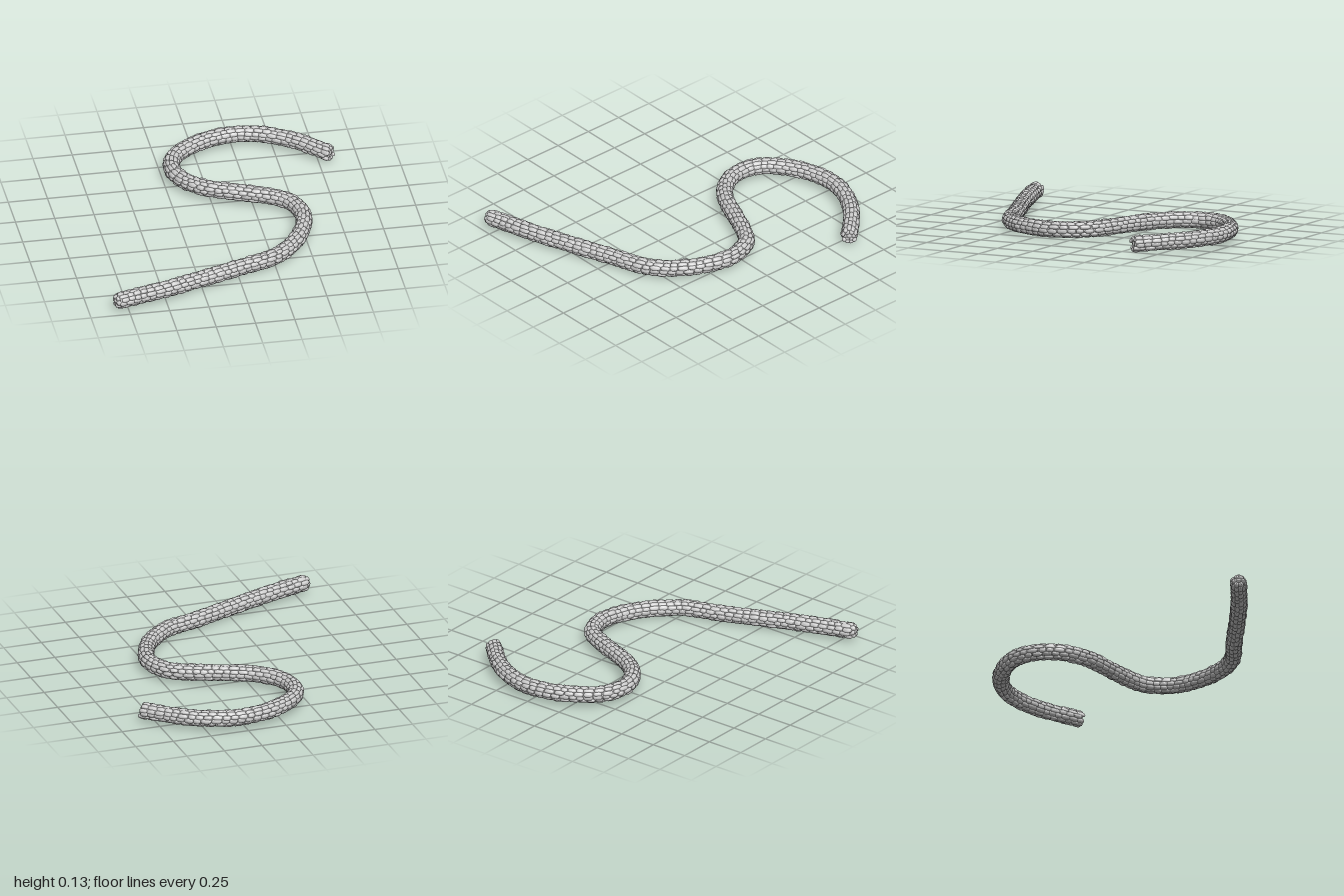
import * as THREE from 'three';
import { mergeGeometries } from 'three/addons/utils/BufferGeometryUtils.js';

// Centre line of the winding wall: x, y, z
const PATH = [
  [-0.82, 0.075, 0.94], [-0.5, 0.068, 0.84], [-0.23, 0.063, 0.74], [0, 0.06, 0.65],
  [0.24, 0.06, 0.56], [0.39, 0.062, 0.42], [0.485, 0.066, 0.245], [0.515, 0.07, 0.085],
  [0.46, 0.074, -0.075], [0.35, 0.077, -0.155], [0.165, 0.08, -0.235], [-0.02, 0.08, -0.32],
  [-0.145, 0.08, -0.445], [-0.19, 0.08, -0.59], [-0.15, 0.08, -0.735], [0, 0.08, -0.865],
  [0.165, 0.08, -0.93], [0.295, 0.08, -0.943], [0.455, 0.08, -0.905], [0.625, 0.078, -0.805],
  [0.81, 0.073, -0.63],
];
const COURSES = 11;
const CORE = 0.044;

// Small seeded random source
function makeRandom(seed) {
  return () => {
    seed = (seed * 16807) % 2147483647;
    return seed / 2147483647;
  };
}

// A rounded block: a sphere pushed towards a box
function makeStone() {
  const stone = new THREE.SphereGeometry(1, 9, 6);
  const p = stone.attributes.position;
  const push = (v) => Math.sign(v) * Math.pow(Math.abs(v), 0.72);
  for (let i = 0; i < p.count; i++) {
    p.setXYZ(i, push(p.getX(i)), push(p.getY(i)), push(p.getZ(i)));
  }
  stone.computeVertexNormals();
  return stone;
}

export function createModel() {
  const group = new THREE.Group();
  group.name = 'windingStoneWall';
  const material = new THREE.MeshStandardMaterial({ color: 0xcccccc, roughness: 0.9 });
  const random = makeRandom(4271);
  const vary = (amount) => (random() - 0.5) * 2 * amount;
  const curve = new THREE.CatmullRomCurve3(PATH.map((p) => new THREE.Vector3(...p)));
  const length = curve.getLength();
  const stone = makeStone();
  const up = new THREE.Vector3(0, 1, 0);

  // Local axes of the wall at a point along its length
  function frameAt(t) {
    const along = curve.getTangentAt(t);
    const side = new THREE.Vector3().crossVectors(along, up).normalize();
    const top = new THREE.Vector3().crossVectors(side, along).normalize();
    return { point: curve.getPointAt(t), along, side, top };
  }

  // One stone lying on the wall at an angle round its section
  function placeStone(t, angle, radius, halfLength, halfWidth, halfDepth) {
    const f = frameAt(t);
    const out = f.side.clone().multiplyScalar(Math.cos(angle)).addScaledVector(f.top, Math.sin(angle));
    const across = new THREE.Vector3().crossVectors(f.along, out);
    const matrix = new THREE.Matrix4().makeBasis(f.along, out, across);
    matrix.scale(new THREE.Vector3(halfLength, halfDepth, halfWidth));
    matrix.setPosition(f.point.addScaledVector(out, radius));
    return stone.clone().applyMatrix4(matrix);
  }

  function add(name, geometry) {
    const mesh = new THREE.Mesh(geometry, material);
    mesh.name = name;
    group.add(mesh);
  }

  // Solid core that closes the gaps between stones
  add('wallCore', new THREE.TubeGeometry(curve, 200, CORE, 12, false));

  // Courses of stones running the whole length, laid with staggered joints
  for (let c = 0; c < COURSES; c++) {
    const angle = (c / COURSES) * Math.PI * 2 + Math.PI / 2;
    const stones = [];
    let s = (c % 2) * 0.012;
    while (s < length) {
      const size = 0.04 + random() * 0.026;
      const t = Math.min((s + size / 2) / length, 1);
      stones.push(placeStone(t, angle + vary(0.06), 0.041 + vary(0.002),
        size * 0.56, 0.0155 + vary(0.0015), 0.0125 + vary(0.002)));
      s += size;
    }
    add('stoneCourse' + (c + 1), mergeGeometries(stones));
  }

  // Rounded stones closing both ends
  [0, 1].forEach((t) => {
    const stones = [placeStone(t, 0, 0, 0.022, 0.018, 0.018)];
    for (let i = 0; i < 6; i++) {
      stones.push(placeStone(t, (i / 6) * Math.PI * 2, 0.027, 0.019 + vary(0.003), 0.016, 0.015));
    }
    add(t === 0 ? 'frontEndStones' : 'backEndStones', mergeGeometries(stones));
  });

  return group;
}
